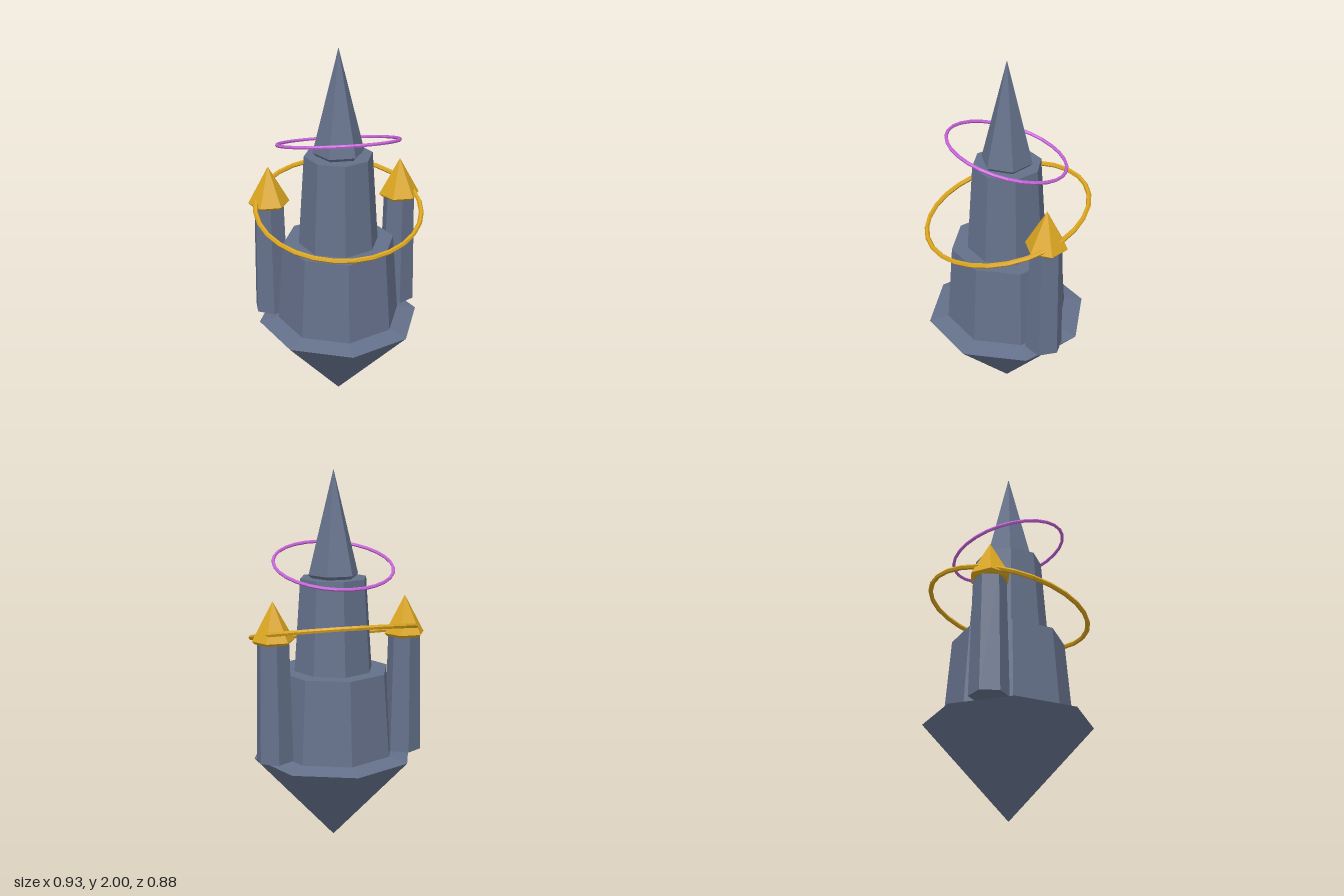
import * as THREE from 'three';

const slate = new THREE.MeshStandardMaterial({ color: 0x64708a });
const gold = new THREE.MeshStandardMaterial({ color: 0xdaa520 });
const orchid = new THREE.MeshStandardMaterial({ color: 0xc765da });

// Faceted mesh: split the faces so each has its own flat normal
function facet(name, geometry, material) {
  const flat = geometry.toNonIndexed();
  flat.computeVertexNormals();
  const mesh = new THREE.Mesh(flat, material);
  mesh.name = name;
  return mesh;
}

// Prism, frustum or cone between two heights; turn spins it about y
function tier(name, rTop, rBottom, y0, y1, sides, material, turn = 0) {
  const g = new THREE.CylinderGeometry(rTop, rBottom, y1 - y0, sides);
  g.rotateY(turn);
  g.translate(0, (y0 + y1) / 2, 0);
  return facet(name, g, material);
}

// Tilted floating ring; positive tilt lowers the front
function ring(name, radius, tube, y, tilt, material) {
  const mesh = facet(name, new THREE.TorusGeometry(radius, tube, 6, 28), material);
  mesh.rotation.x = Math.PI / 2 + tilt;
  mesh.position.y = y;
  return mesh;
}

export function createModel() {
  const model = new THREE.Group();
  model.name = 'floatingCastle';
  const sixth = Math.PI / 6;

  // Inverted rock with a shallow sloping lid
  model.add(tier('rockPoint', 0.44, 0, 0, 0.49, 8, slate));
  model.add(tier('rockLid', 0.31, 0.44, 0.49, 0.515, 8, slate));

  // Stepped octagonal keep
  model.add(tier('lowerKeep', 0.3, 0.335, 0.505, 0.955, 8, slate));
  model.add(tier('upperKeep', 0.18, 0.215, 0.95, 1.445, 8, slate));

  // Six-sided spire with a bevelled foot
  model.add(tier('spireFoot', 0.135, 0.115, 1.44, 1.462, 6, slate, sixth));
  model.add(tier('spire', 0, 0.135, 1.462, 2, 6, slate, sixth));

  // Pair of side turrets with gold caps
  for (const side of [1, -1]) {
    const turret = new THREE.Group();
    turret.name = side > 0 ? 'leftTurret' : 'rightTurret';
    turret.position.set(side * 0.355, 0, -0.118);
    turret.add(tier('turretShaft', 0.085, 0.1, 0.515, 1.15, 6, slate));
    turret.add(tier('capFoot', 0.11, 0.095, 1.14, 1.155, 6, gold, sixth));
    turret.add(tier('turretCap', 0, 0.11, 1.155, 1.355, 6, gold, sixth));
    model.add(turret);
  }

  // Floating rings
  model.add(ring('goldRing', 0.437, 0.013, 1.152, 0.243, gold));
  model.add(ring('orchidRing', 0.315, 0.009, 1.513, -0.28, orchid));
  return model;
}
